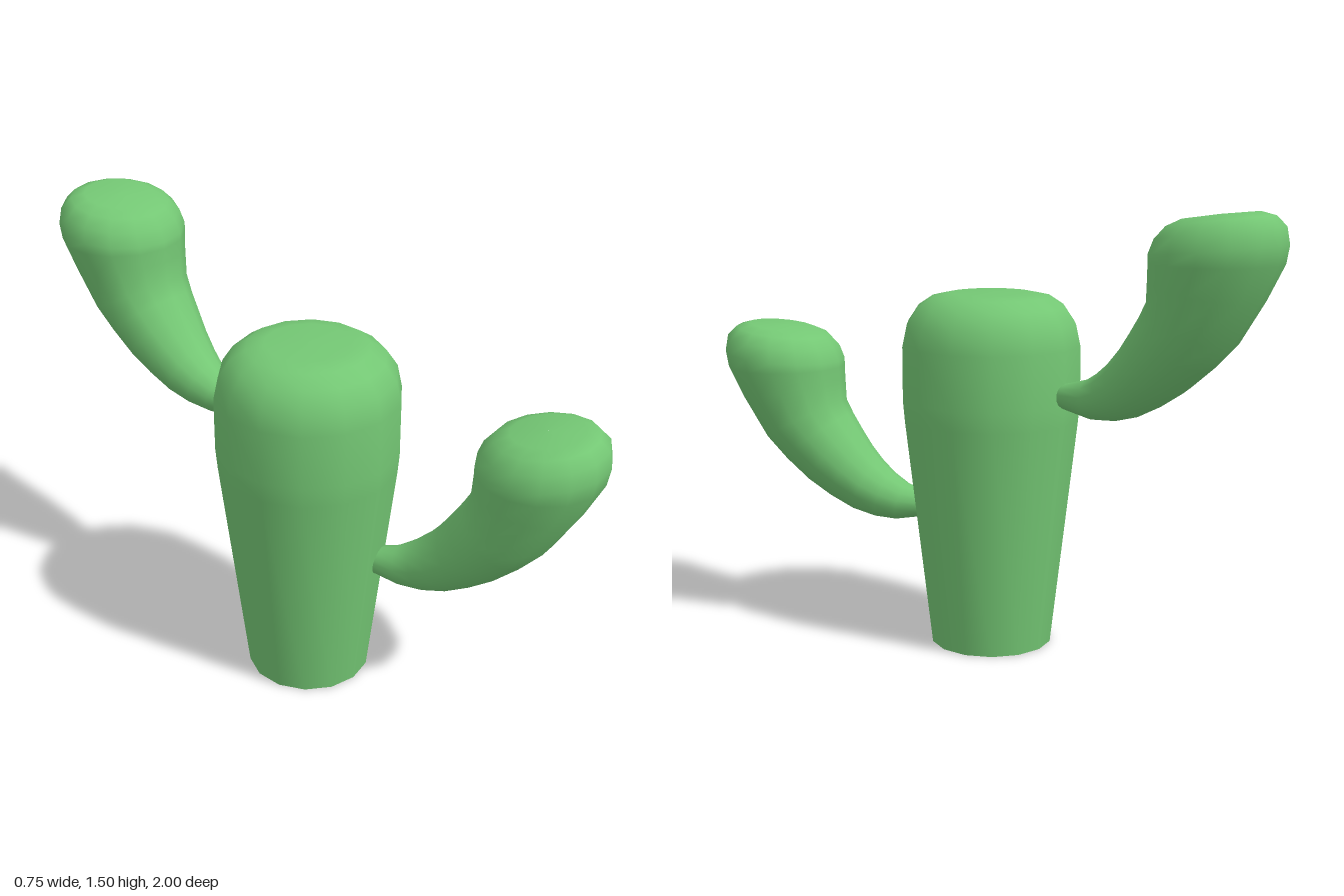
import * as THREE from 'three';

const SIDES = 14;

// Arm cross-sections: [forward, height, half width, half thickness, direction in degrees]
const ARM_RINGS = [
  [-0.605, 0.885, 0.001, 0.001, 0],
  [-0.59, 0.885, 0.032, 0.032, 0],
  [-0.54, 0.884, 0.045, 0.043, 4],
  [-0.445, 0.885, 0.067, 0.066, 14],
  [-0.38, 0.904, 0.086, 0.083, 20],
  [-0.315, 0.935, 0.105, 0.098, 28],
  [-0.25, 0.982, 0.123, 0.112, 35],
  [-0.19, 1.035, 0.141, 0.126, 43],
  [-0.13, 1.098, 0.156, 0.138, 53],
  [-0.08, 1.16, 0.171, 0.15, 63],
  [-0.035, 1.265, 0.192, 0.178, 79],
  [-0.005, 1.345, 0.21, 0.202, 90],
  [0, 1.385, 0.213, 0.208, 95],
  [0.004, 1.435, 0.2, 0.195, 97],
  [0.005, 1.47, 0.165, 0.162, 97],
  [0.006, 1.487, 0.118, 0.116, 97],
  [0.006, 1.49, 0.001, 0.001, 97],
];

// Skin the cross-sections into one smooth closed arm
function armGeometry() {
  const positions = [], index = [];
  ARM_RINGS.forEach(([s, y, rx, rn, deg], i) => {
    const t = THREE.MathUtils.degToRad(deg);
    for (let j = 0; j < SIDES; j++) {
      const a = (j / SIDES) * Math.PI * 2;
      const n = rn * Math.cos(a);
      positions.push(rx * Math.sin(a), y + n * Math.cos(t), s - n * Math.sin(t));
      if (i === 0) continue;
      const k = (j + 1) % SIDES, low = (i - 1) * SIDES, high = i * SIDES;
      index.push(low + k, low + j, high + j, low + k, high + j, high + k);
    }
  });
  const g = new THREE.BufferGeometry();
  g.setAttribute('position', new THREE.Float32BufferAttribute(positions, 3));
  g.setIndex(index);
  g.computeVertexNormals();
  return g;
}

export function createModel() {
  const model = new THREE.Group();
  model.name = 'cactus';
  const green = new THREE.MeshStandardMaterial({ color: 0x74c774 });
  green.name = 'cactus green';

  const add = (name, geometry, x, y, z) => {
    const mesh = new THREE.Mesh(geometry, green);
    mesh.name = name;
    mesh.position.set(x, y, z);
    model.add(mesh);
    return mesh;
  };

  // Tapered trunk with a rounded top
  const profile = [
    [0.207, 0], [0.297, 0.78], [0.303, 0.85], [0.303, 1.03], [0.287, 1.105],
    [0.25, 1.16], [0.2, 1.193], [0.14, 1.205], [0, 1.207],
  ].map(([r, y]) => new THREE.Vector2(r, y));
  add('trunk', new THREE.LatheGeometry(profile, SIDES), -0.08, 0, 0.053);

  // Flat underside of the trunk
  const base = add('trunkBase', new THREE.CircleGeometry(0.207, SIDES), -0.08, 0, 0.053);
  base.rotation.set(Math.PI / 2, 0, Math.PI / 2);

  // The same arm at the back (high) and at the front (low, turned to the left)
  const arm = armGeometry();
  add('backArm', arm, -0.085, 0, -0.795).rotation.y = Math.PI;
  add('frontArm', arm, 0.165, -0.425, 0.787).rotation.y = 0.32;

  return model;
}
